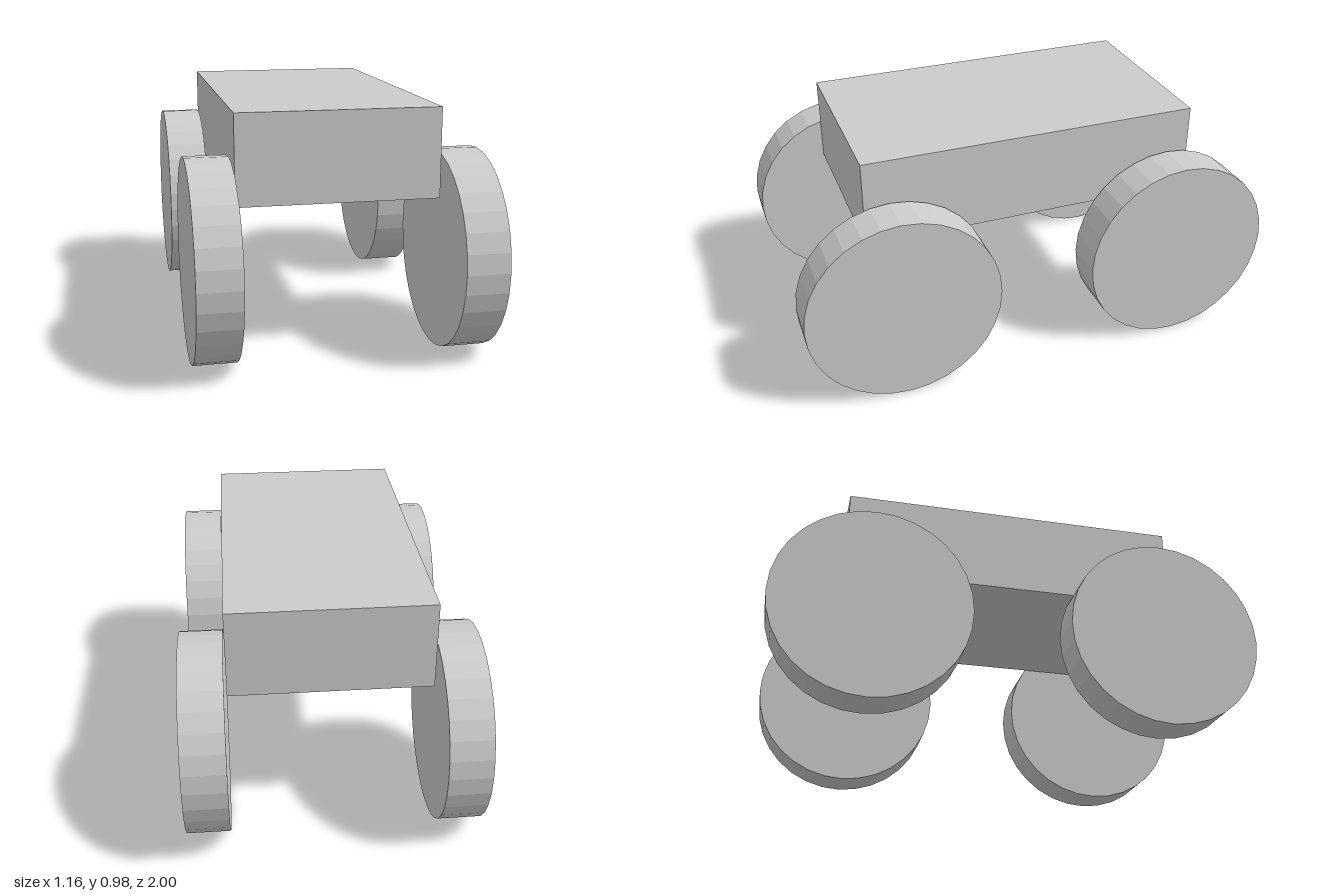
import * as THREE from 'three';

export function createModel() {
  const model = new THREE.Group();
  model.name = 'cart';
  const material = new THREE.MeshStandardMaterial({ color: 0xcccccc, flatShading: true });

  // Box body
  const body = new THREE.Mesh(new THREE.BoxGeometry(0.8, 0.357, 1.4), material);
  body.name = 'body';
  body.position.y = 0.802;
  model.add(body);

  // Four disc wheels, standing just clear of the body sides
  const wheelGeometry = new THREE.CylinderGeometry(0.4, 0.4, 0.171, 32).rotateZ(Math.PI / 2);
  for (const [end, z] of [['front', 0.6], ['back', -0.6]]) {
    for (const [side, x] of [['Left', 0.494], ['Right', -0.494]]) {
      const wheel = new THREE.Mesh(wheelGeometry, material);
      wheel.name = `${end}${side}Wheel`;
      wheel.position.set(x, 0.4, z);
      model.add(wheel);
    }
  }

  return model;
}
